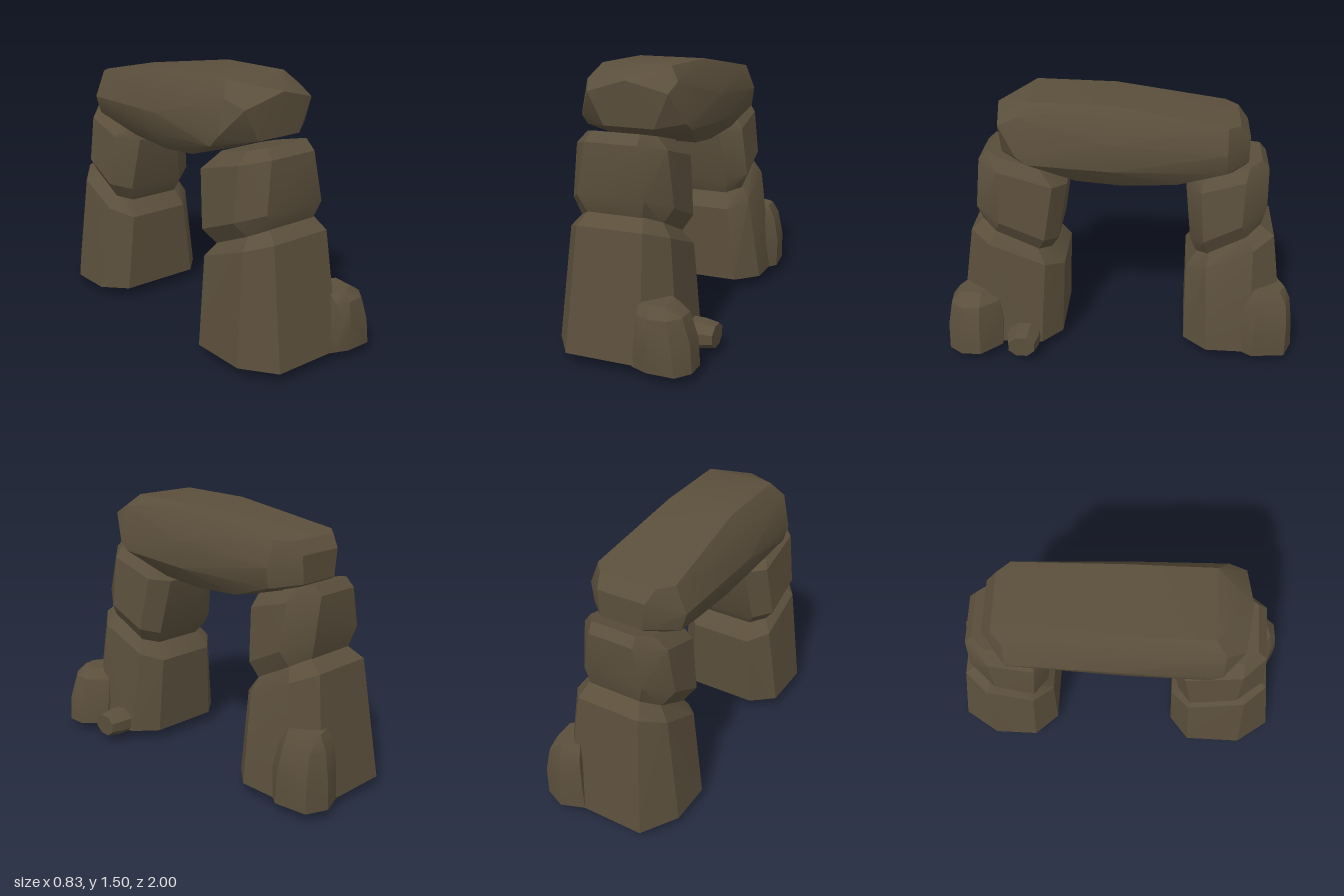
import * as THREE from 'three';
import { ConvexGeometry } from 'three/addons/geometries/ConvexGeometry.js';
import { toCreasedNormals } from 'three/addons/utils/BufferGeometryUtils.js';

const stone = new THREE.MeshStandardMaterial({ color: 0x5b4f3c });
stone.name = 'brown stone';

const v = (x, y, z) => new THREE.Vector3(x, y, z);

// Solid boulder wrapped around a few points
function rock(name, points) {
  const mesh = new THREE.Mesh(toCreasedNormals(new ConvexGeometry(points), 0.45), stone);
  mesh.name = name;
  return mesh;
}

// Chamfered rectangle lying on a plane that slopes from the outer to the inner side
function ring(x0, x1, zOut, zIn, yOut, yIn, cx = 0.11, cOut = 0.14, cIn = 0.1) {
  const s = Math.sign(zOut);
  const a = zOut - s * cOut, b = zIn + s * cIn;
  return [
    [x0 + cx, zOut], [x1 - cx, zOut], [x1, a], [x1, b],
    [x1 - cx, zIn], [x0 + cx, zIn], [x0, b], [x0, a],
  ].map(([x, z]) => v(x, yIn + (yOut - yIn) * (z - zIn) / (zOut - zIn), z));
}

// Outline in plan, raised to height y
const plan = (y, outline) => outline.map(([x, z]) => v(x, y, z));

// Cross-section of the capstone at one z
const slice = (z, profile) => profile.map(([x, y]) => v(x, y, z));

export function createModel() {
  const group = new THREE.Group();
  group.name = 'stoneArch';

  // Front pillar
  const front = new THREE.Group();
  front.name = 'frontPillar';
  front.add(
    rock('frontBaseStone', [
      v(-0.02, 0.03, 0.68),
      ...ring(-0.4, 0.28, 0.96, 0.35, 0.06, 0.06, 0.13, 0.18, 0.11),
      ...ring(-0.34, 0.225, 0.86, 0.33, 0.72, 0.515, 0.1, 0.12, 0.1),
      ...ring(-0.28, 0.17, 0.79, 0.41, 0.78, 0.61, 0.07, 0.08, 0.07),
    ]),
    rock('frontMiddleStone', [
      ...ring(-0.29, 0.17, 0.79, 0.41, 0.77, 0.6, 0.08, 0.08, 0.06),
      ...ring(-0.355, 0.22, 0.82, 0.36, 0.87, 0.68, 0.1, 0.14, 0.07),
      ...ring(-0.325, 0.185, 0.8, 0.31, 1.14, 1.0, 0.11, 0.12, 0.07),
      ...ring(-0.26, 0.13, 0.75, 0.4, 1.19, 1.1, 0.06, 0.07, 0.06),
    ]),
    rock('frontSideBoulder', [
      ...plan(0.05, [[0.1, 0.95], [0.2, 0.99], [0.35, 0.99], [0.41, 0.91], [0.41, 0.8], [0.3, 0.69], [0.12, 0.69]]),
      ...plan(0.2, [[0.15, 0.98], [0.2, 1.0], [0.33, 0.99], [0.4, 0.91], [0.4, 0.8], [0.28, 0.68]]),
      ...plan(0.33, [[0.13, 0.95], [0.2, 0.98], [0.3, 0.97], [0.355, 0.9], [0.355, 0.8], [0.26, 0.7]]),
      ...plan(0.385, [[0.12, 0.9], [0.2, 0.94], [0.27, 0.92], [0.28, 0.8], [0.15, 0.71]]),
    ]),
    rock('frontPebble', [[0.2, 1.15], [0.33, 1.15], [0.41, 0.95]].flatMap(([x, k]) =>
      Array.from({ length: 8 }, (_, i) => {
        const t = (i + 0.5) * Math.PI / 4;
        return v(x, 0.11 + 0.068 * k * Math.sin(t), 0.56 + 0.085 * k * Math.cos(t));
      }))),
  );

  // Back pillar
  const back = new THREE.Group();
  back.name = 'backPillar';
  back.add(
    rock('backBaseStone', [
      v(0, 0, -0.7),
      ...ring(-0.42, 0.295, -0.95, -0.37, 0.05, 0.06, 0.12, 0.2, 0.13),
      ...ring(-0.35, 0.22, -0.86, -0.37, 0.73, 0.515, 0.1, 0.12, 0.11),
      ...ring(-0.28, 0.17, -0.78, -0.43, 0.79, 0.61, 0.07, 0.08, 0.07),
    ]),
    rock('backMiddleStone', [
      ...ring(-0.29, 0.17, -0.78, -0.43, 0.78, 0.6, 0.08, 0.08, 0.06),
      ...ring(-0.355, 0.215, -0.81, -0.39, 0.9, 0.69, 0.11, 0.14, 0.07),
      ...ring(-0.32, 0.185, -0.81, -0.36, 1.12, 0.99, 0.12, 0.13, 0.08),
      ...ring(-0.25, 0.13, -0.77, -0.4, 1.17, 1.08, 0.06, 0.07, 0.06),
    ]),
    rock('backSideBoulder', [
      ...plan(0.05, [[0.06, -0.95], [0.19, -1.0], [0.31, -0.95], [0.33, -0.76], [0.26, -0.67], [0.1, -0.67]]),
      ...plan(0.22, [[0.07, -0.95], [0.19, -0.99], [0.31, -0.95], [0.33, -0.77], [0.26, -0.67]]),
      ...plan(0.37, [[0.08, -0.94], [0.19, -0.97], [0.28, -0.94], [0.3, -0.78], [0.23, -0.68]]),
      ...plan(0.445, [[0.1, -0.9], [0.19, -0.935], [0.25, -0.9], [0.26, -0.78], [0.15, -0.7]]),
    ]),
  );

  // Capstone lying across both pillars
  const capstone = rock('capstone', [
    v(-0.04, 1.44, 0.69),
    ...slice(0.66, [[-0.27, 1.37], [0.18, 1.38], [0.1, 1.2], [-0.18, 1.2]]),
    ...slice(0.56, [[-0.36, 1.23], [0.235, 1.22], [-0.32, 1.42], [0.19, 1.43]]),
    ...slice(0.5, [[-0.26, 1.5], [0.13, 1.5], [-0.2, 1.14], [0.1, 1.14], [-0.36, 1.17], [0.24, 1.18]]),
    ...slice(0.25, [[-0.28, 1.06], [0.16, 1.06]]),
    ...slice(0.05, [[-0.26, 1.49], [0.13, 1.49], [-0.375, 1.26], [0.235, 1.3], [-0.35, 1.14], [0.235, 1.15]]),
    ...slice(0, [[-0.27, 1.033], [0.15, 1.033]]),
    ...slice(-0.3, [[-0.27, 1.05], [0.16, 1.05]]),
    ...slice(-0.57, [[-0.3, 1.385], [0.16, 1.385], [-0.36, 1.24], [0.215, 1.25], [-0.33, 1.14], [0.2, 1.14]]),
    ...slice(-0.64, [[-0.23, 1.378], [0.1, 1.378], [-0.2, 1.12], [0.09, 1.12]]),
    ...slice(-0.695, [[-0.2, 1.31], [0.08, 1.31], [-0.18, 1.16], [0.07, 1.16]]),
  ]);

  group.add(front, back, capstone);
  return group;
}
